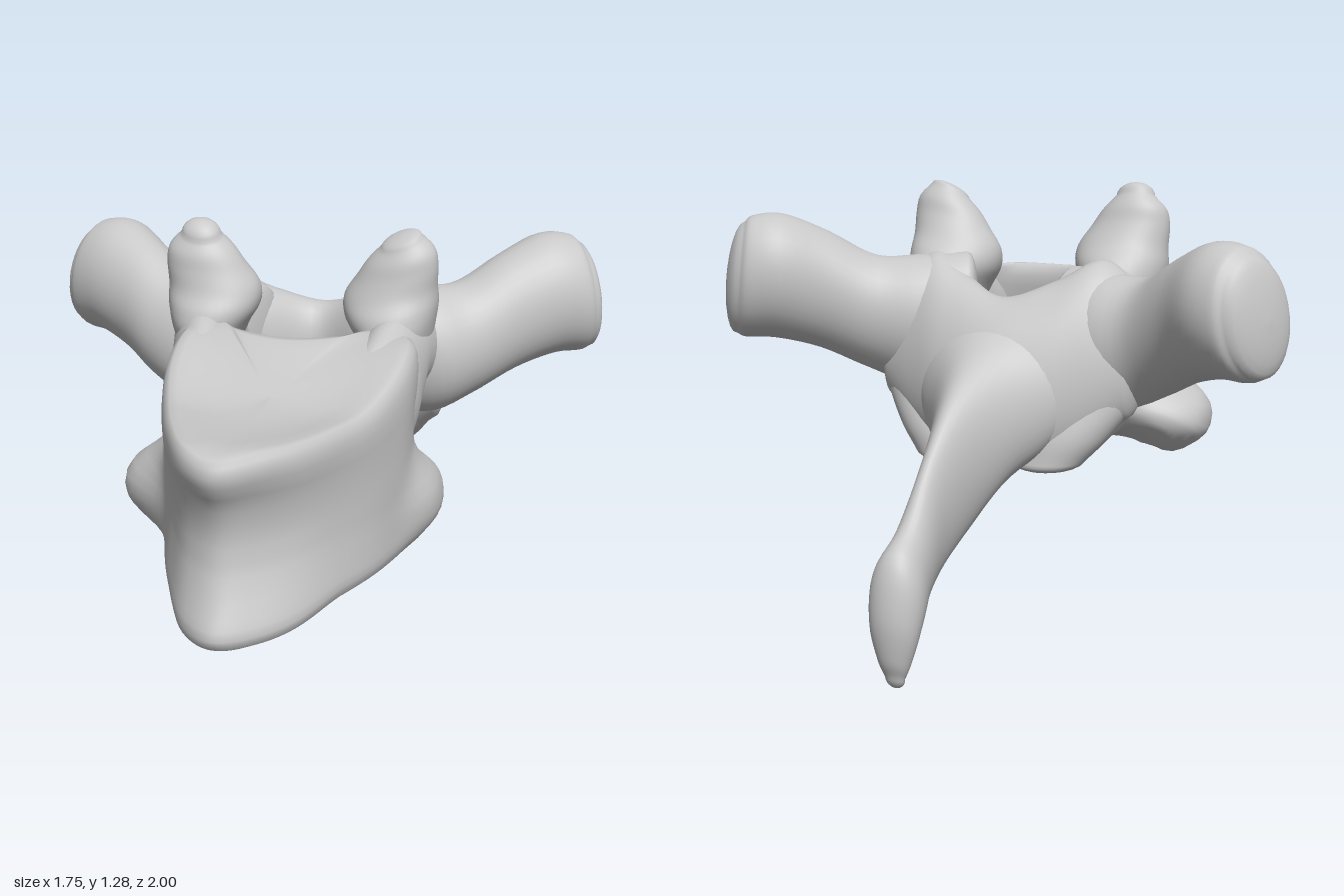
import * as THREE from 'three';

const bone = new THREE.MeshStandardMaterial({ color: 0xc8c8c8 });
bone.name = 'bone grey';
const V = (a) => new THREE.Vector3(...a);
const smooth = THREE.MathUtils.smoothstep;

// Skin a stack of closed rings that all have the same number of points
function skin(rings, flip) {
  const n = rings[0].length, index = [];
  for (let i = 0; i < rings.length - 1; i++) {
    for (let j = 0; j < n; j++) {
      const a = i * n + j, b = i * n + (j + 1) % n, c = a + n, d = b + n;
      if (flip) index.push(a, d, b, a, c, d);
      else index.push(a, b, d, a, d, c);
    }
  }
  const geometry = new THREE.BufferGeometry().setFromPoints(rings.flat());
  geometry.setIndex(index);
  geometry.computeVertexNormals();
  return geometry;
}

// Loft elliptical sections [centre, half axis u, half axis v], with domed ends
function loft(sections, bulge = 0.03, steps = 28, n = 36) {
  const [C, U, W] = [0, 1, 2].map((k) =>
    new THREE.CatmullRomCurve3(sections.map((s) => V(s[k])), false, 'catmullrom'));
  const rings = [];
  const ring = (t, scale, shift) => {
    const c = C.getPoint(t).addScaledVector(C.getTangent(t), shift);
    const u = U.getPoint(t), w = W.getPoint(t), points = [];
    for (let j = 0; j < n; j++) {
      const a = (j / n) * Math.PI * 2;
      points.push(c.clone().addScaledVector(u, Math.cos(a) * scale)
        .addScaledVector(w, Math.sin(a) * scale));
    }
    rings.push(points);
  };
  const domes = [1, 2, 3, 4, 5, 6].map((k) => (k / 6) * Math.PI / 2);
  for (const a of [...domes].reverse()) ring(0, Math.cos(a), -Math.sin(a) * bulge);
  for (let i = 0; i <= steps; i++) ring(i / steps, 1, 0);
  for (const a of domes) ring(1, Math.cos(a), Math.sin(a) * bulge);
  const facing = U.getPoint(0.5).cross(W.getPoint(0.5)).dot(C.getTangent(0.5));
  return skin(rings, facing < 0);
}

// Heart-shaped body with a waist, dished end plates and a rib facet swelling on each side
function bodyGeometry() {
  const outline = new THREE.CatmullRomCurve3([
    [-0.01, 1], [0.1, 0.95], [0.2, 0.86], [0.3, 0.68], [0.37, 0.5], [0.405, 0.33],
    [0.39, 0.18], [0.33, 0.11], [0.25, 0.12], [0.17, 0.2], [0, 0.245], [-0.17, 0.2],
    [-0.25, 0.12], [-0.31, 0.13], [-0.33, 0.24], [-0.32, 0.42], [-0.27, 0.6],
    [-0.2, 0.78], [-0.11, 0.94],
  ].map(([x, z]) => new THREE.Vector3(x, 0, z)), true);
  const top = (z) => 0.9 + 0.1 * (1 - smooth(z, 0.22, 0.65)) - 0.02 * smooth(z, 0.9, 1);
  const bottom = (z) => 0.4 - 0.06 * smooth(z, 0.7, 1) + 0.13 * (1 - smooth(z, 0.1, 0.3));
  // [height fraction, x scale, z scale]
  const rows = [
    [0, 0, 0], [0, 0.25, 0.25], [0, 0.5, 0.5], [0, 0.7, 0.7], [0, 0.85, 0.85],
    [0.005, 0.93, 0.94], [0.03, 0.975, 0.985], [0.08, 0.99, 1], [0.12, 0.99, 0.98],
    [0.16, 0.985, 0.96], [0.22, 0.98, 0.92], [0.28, 0.975, 0.89], [0.34, 0.97, 0.86],
    [0.4, 0.97, 0.84], [0.48, 0.97, 0.83], [0.55, 0.97, 0.825], [0.68, 0.97, 0.85],
    [0.78, 0.98, 0.91], [0.86, 0.98, 0.96], [0.92, 0.97, 0.975], [0.97, 0.945, 0.965],
    [0.995, 0.9, 0.93], [1, 0.83, 0.85], [1, 0.7, 0.7], [1, 0.5, 0.5], [1, 0.25, 0.25], [1, 0, 0],
  ];
  const n = 128;
  return skin(rows.map(([t, sx, sz]) => {
    const points = [];
    for (let j = 0; j < n; j++) {
      const p = outline.getPoint(j / n);
      const x = 0.03 + (p.x - 0.03) * sx, z = 0.52 + (p.z - 0.52) * sz;
      const dish = 1 - smooth(sx, 0.4, 0.95);
      const low = bottom(z) + 0.05 * dish, high = top(z) - 0.02 * dish;
      const y = low + (high - low) * t;
      // Rib facet, larger and further forward on the right
      const s = Math.sign(x), facetZ = s > 0 ? 0.2 : 0.3;
      const r2 = ((z - facetZ) / 0.16) ** 2 + ((y - 0.53) / 0.125) ** 2;
      const swell = Math.exp(-(r2 ** 1.5)) * smooth(Math.abs(x), 0.15, 0.3);
      const back = swell * 0.06 * (1 - smooth(z, 0.1, 0.35));
      points.push(new THREE.Vector3(x + s * swell * (s > 0 ? 0.075 : 0.155), y, z - back));
    }
    return points;
  }), false);
}

export function createModel() {
  const model = new THREE.Group();
  model.name = 'vertebra';
  const add = (name, geometry) => {
    const mesh = new THREE.Mesh(geometry, bone);
    mesh.name = name;
    model.add(mesh);
  };

  add('vertebralBody', bodyGeometry());

  for (const s of [1, -1]) {
    const side = s > 0 ? 'left' : 'right';
    const dz = s > 0 ? 0 : 0.045;
    const slim = s > 0 ? 0 : 0.02;

    // Pedicle: bridge from the body back to the arch
    add(side + 'Pedicle', loft([
      [0.46, 0.26, 0.74, 0.05, 0.13],
      [0.32, 0.27, 0.79, 0.09, 0.18],
      [0.2, 0.285, 0.81, 0.105, 0.205],
      [0.12, 0.295, 0.855, 0.1, 0.18],
      [0.05, 0.3, 0.9, 0.1, 0.145],
      [-0.03, 0.3, 0.9, 0.11, 0.145],
      [-0.14, 0.3, 0.87, 0.12, 0.17],
    ].map(([z, x, y, w, h]) => [[s * (x - slim * smooth(z, 0.05, 0.2)), y, z], [w, 0, 0], [0, h, 0]])));

    // Upper joint horn: flattened upright knob with a pointed top
    add(side + 'UpperJointHorn', loft([
      [0.84, 0.3, 0.0, 0.08, 0.1],
      [0.96, 0.285, 0.02, 0.115, 0.16],
      [1.03, 0.27, 0.03, 0.14, 0.15],
      [1.09, 0.268, 0.04, 0.14, 0.11],
      [1.15, 0.288, 0.05, 0.122, 0.083],
      [1.2, 0.3, 0.055, 0.1, 0.068],
      [1.24, 0.3, 0.06, 0.06, 0.045],
    ].map(([y, x, z, w, d]) =>
      [[s * x, y, z + (s > 0 ? -0.025 : 0.015)], [w, s > 0 ? 0.02 : -0.005, 0], [0, -0.02, d]]),
    s > 0 ? 0.02 : 0.04));

    // Side wing: flared root, narrow neck, swollen tip
    add(side + 'SideWing', loft([
      [0.2, 0.87, -0.1, 0.2, 0.12],
      [0.34, 0.86, -0.145, 0.2, 0.16],
      [0.46, 0.885, -0.205, 0.175, 0.14],
      [0.58, 0.955, -0.28, 0.18, 0.133],
      [0.69, 1.0, -0.355, 0.19, 0.148],
      [0.77, 1.0, -0.395, 0.187, 0.14],
      [0.8, 0.995, -0.405, 0.17, 0.12],
    ].map(([x, y, z, h, w]) => [
      [s * x, y - (s > 0 ? 0 : 0.025), z + dz * smooth(x, 0.3, 0.5)],
      [s * -0.02, h, 0], [s * 0.5 * w, 0, 0.86 * w],
    ]), 0.045));

    // Lower joint lobe: blunt lobe hanging from the arch
    add(side + 'LowerJointLobe', loft([
      [0.82, 0.3, -0.14, 0.13, 0.11],
      [0.68, 0.26, -0.185, 0.145, 0.11],
      [0.57, 0.2, -0.23, 0.14, 0.11],
      [0.49, 0.16, -0.27, 0.11, 0.085],
    ].map(([y, x, z, w, d]) => [[s * x, y, z], [w, 0, 0], [0, 0, d]]), 0.04));
  }

  // Lamina: sloping plate that wraps round the back of the canal
  const half = [
    [0.38, 0.81, -0.155, 0.19, 0.1],
    [0.27, 0.8, -0.175, 0.27, 0.13],
    [0.15, 0.75, -0.23, 0.26, 0.135],
  ];
  const mirrored = half.map(([x, ...rest]) => [-x, ...rest]);
  add('lamina', loft([...mirrored, [0, 0.72, -0.29, 0.24, 0.115], ...half.reverse()]
    .map(([x, y, z, h, d]) => [[x, y, z], [0, h, h * 0.25], [0, -d * 0.2, d]]), 0.04, 40));

  // Rear spine: [top z, top y, bottom z, bottom y, half width]
  add('rearSpine', loft([
    [-0.25, 0.92, -0.29, 0.5, 0.27],
    [-0.34, 0.88, -0.34, 0.46, 0.225],
    [-0.45, 0.81, -0.42, 0.41, 0.145],
    [-0.6, 0.71, -0.53, 0.33, 0.08],
    [-0.74, 0.58, -0.68, 0.26, 0.05],
    [-0.86, 0.44, -0.8, 0.2, 0.058],
    [-0.96, 0.36, -0.87, 0.15, 0.077],
    [-0.995, 0.22, -0.9, 0.1, 0.068],
    [-0.985, 0.1, -0.915, 0.05, 0.045],
    [-0.965, 0.04, -0.925, 0.025, 0.028],
  ].map(([tz, ty, bz, by, w]) =>
    [[0, (ty + by) / 2, (tz + bz) / 2], [w, 0, 0], [0, (ty - by) / 2, (tz - bz) / 2]]), 0.03, 45));

  return model;
}
